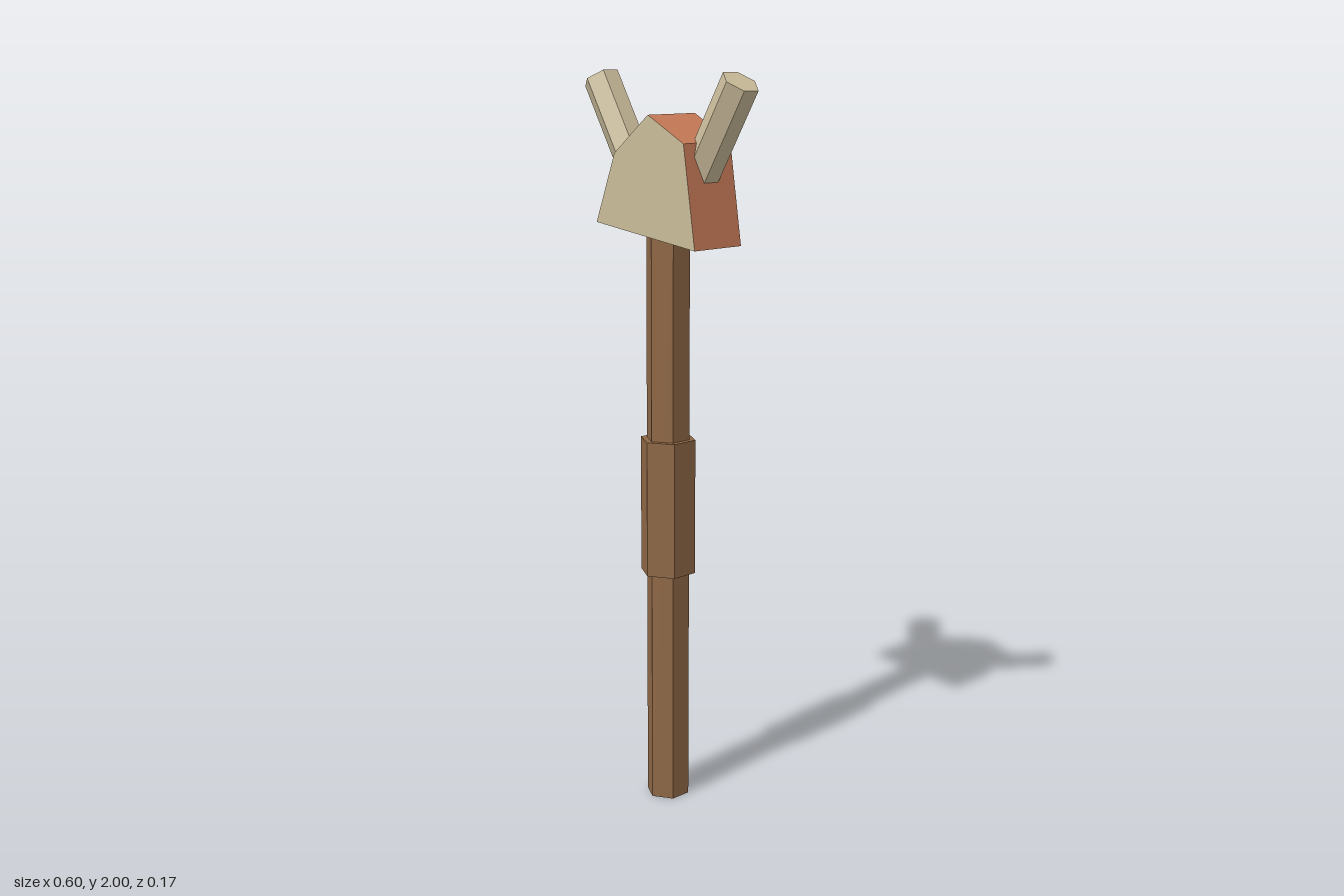
import * as THREE from 'three';

const flat = (name, color) => {
  const m = new THREE.MeshStandardMaterial({ color, flatShading: true });
  m.name = name;
  return m;
};

export function createModel() {
  const wood = flat('brown wood', 0x8f6846);
  const bone = flat('pale bone', 0xcabc9a);
  const clay = flat('terracotta', 0xc67a56);
  const group = new THREE.Group();
  group.name = 'hornedStaff';

  const add = (name, geometry, material) => {
    const mesh = new THREE.Mesh(geometry, material);
    mesh.name = name;
    group.add(mesh);
    return mesh;
  };

  // Hexagonal prism with corners facing +z and -z
  const hexPrism = (name, radius, length, material, x, y) => {
    const mesh = add(name, new THREE.CylinderGeometry(radius, radius, length, 6), material);
    mesh.position.set(x, y, 0);
    return mesh;
  };

  // Shaft runs up into the head; the grip is a thicker sleeve around it
  hexPrism('shaft', 0.06, 1.65, wood, 0, 0.825);
  hexPrism('grip', 0.077, 0.375, wood, 0, 0.843);

  // Irregular five-sided head with pale faces and terracotta rim
  const outline = new THREE.Shape([
    [-0.19, 1.605], [0.187, 1.56], [0.145, 1.825], [0.013, 1.892], [-0.117, 1.79],
  ].map(([x, y]) => new THREE.Vector2(x, y)));
  const headGeometry = new THREE.ExtrudeGeometry(outline, { depth: 0.166, bevelEnabled: false });
  headGeometry.translate(0, 0, -0.083);
  add('head', headGeometry, [bone, clay]);

  // Mirrored horns leaning outwards from the head
  const tilt = 0.54;
  const length = 0.272;
  for (const [name, side] of [['leftHorn', 1], ['rightHorn', -1]]) {
    const horn = hexPrism(name, 0.05, length, bone,
      side * (0.262 - Math.sin(tilt) * length / 2), 1.978 - Math.cos(tilt) * length / 2);
    horn.rotation.z = -side * tilt;
  }

  return group;
}
